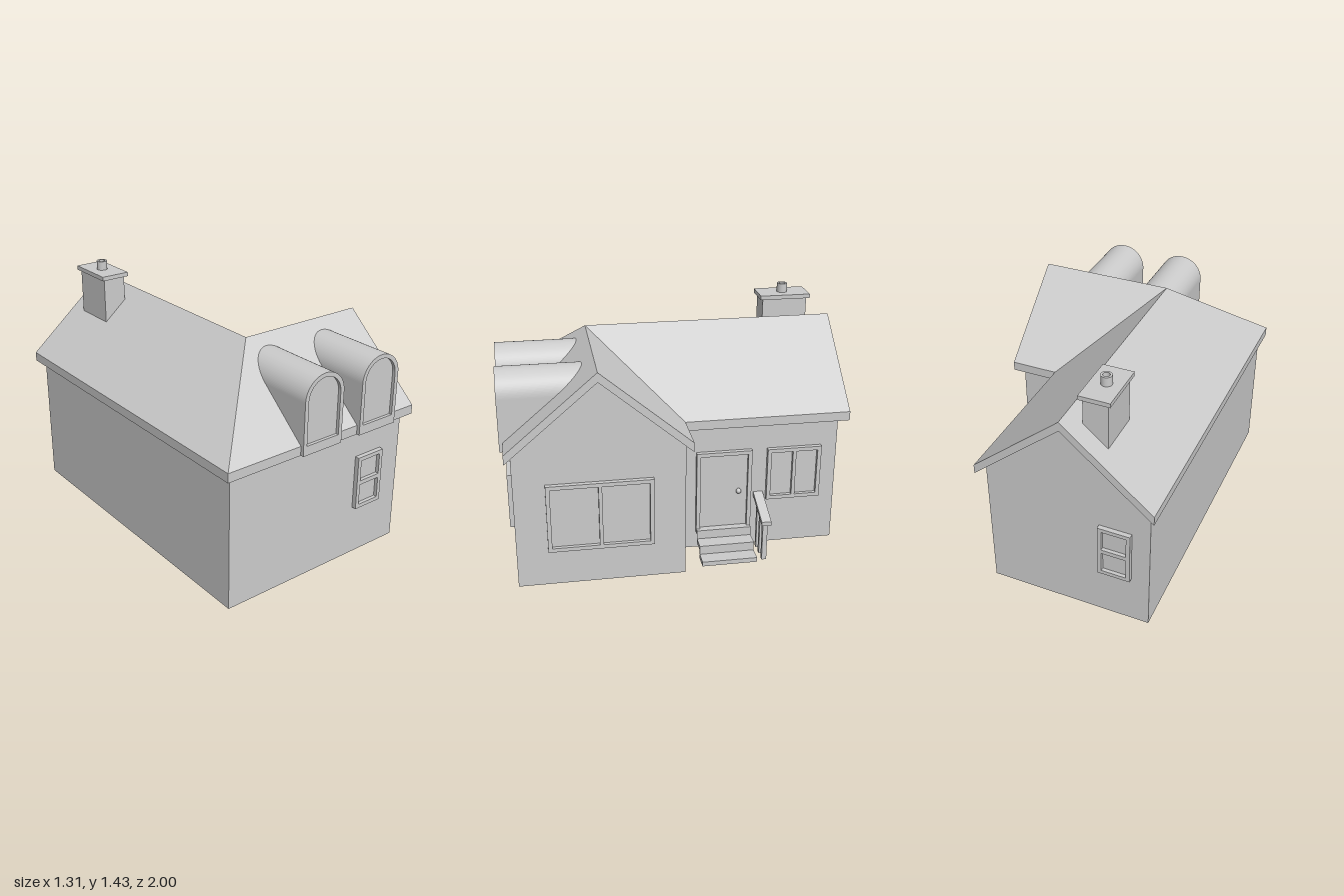
import * as THREE from 'three';

const mat = new THREE.MeshStandardMaterial({ color: 0xcccccc, side: THREE.DoubleSide });

function add(parent, name, geo, x = 0, y = 0, z = 0) {
  const m = new THREE.Mesh(geo, mat);
  m.name = name;
  m.position.set(x, y, z);
  parent.add(m);
  return m;
}

// Box given by its lower and upper corners
function block(parent, name, a, b) {
  const s = b.map((v, i) => v - a[i]);
  return add(parent, name, new THREE.BoxGeometry(...s), ...a.map((v, i) => v + s[i] / 2));
}

// L-plan shell with two crossing gabled wings: an outer rim reaching down to low(y),
// closed by slopes and their undersides when faces are given
function gabledShell({ x0, x1, x2, z0, z1, z2, eave, ridge, low, slopes = [] }) {
  const xr = -0.141, zr = 0.474;
  const P = {
    A: [x0, eave, z0], B: [xr, ridge, z0], C: [x1, eave, z0], D: [x1, eave, z1],
    E: [x2, eave, z1], F: [x2, ridge, zr], G: [x2, eave, z2], H: [x0, eave, z2],
    P: [xr, ridge, zr],
  };
  const under = ([x, y, z]) => [x, low(y), z];
  const pos = [];
  const quad = (a, b, c, d) => pos.push(...a, ...b, ...c, ...a, ...c, ...d);
  for (const face of slopes) {
    const c = [...face].map(k => P[k]);
    quad(...c);
    quad(...c.map(under).reverse());
  }
  const rim = [...'AHGFEDCB'].map(k => P[k]);
  rim.forEach((a, i) => {
    const b = rim[(i + 1) % rim.length];
    quad(a, under(a), under(b), b);
  });
  const g = new THREE.BufferGeometry();
  g.setAttribute('position', new THREE.Float32BufferAttribute(pos, 3));
  g.computeVertexNormals();
  return g;
}

function rectPath(x0, y0, x1, y1, Type = THREE.Path) {
  const p = new Type();
  p.moveTo(x0, y0).lineTo(x1, y0).lineTo(x1, y1).lineTo(x0, y1).closePath();
  return p;
}

// Frame facing local +z, split into cols x rows of panes
function framed(parent, name, { w, h, cols = 1, rows = 1, border = 0.023, bar = 0.02, depth = 0.027 }) {
  const g = new THREE.Group();
  g.name = name;
  const shape = rectPath(-w / 2, 0, w / 2, h, THREE.Shape);
  const pw = (w - 2 * border - (cols - 1) * bar) / cols;
  const ph = (h - 2 * border - (rows - 1) * bar) / rows;
  for (let i = 0; i < cols; i++) for (let j = 0; j < rows; j++) {
    const x = -w / 2 + border + i * (pw + bar), y = border + j * (ph + bar);
    shape.holes.push(rectPath(x, y, x + pw, y + ph));
  }
  add(g, name + 'Frame', new THREE.ExtrudeGeometry(shape, { depth, bevelEnabled: false }));
  block(g, name + 'Panel', [-w / 2 + 0.01, 0.01, 0.001], [w / 2 - 0.01, h - 0.01, 0.006]);
  parent.add(g);
  return g;
}

// Round-topped outline
function arch(r, bottom, spring, Type) {
  const p = new Type();
  p.moveTo(-r, bottom).lineTo(r, bottom).lineTo(r, spring);
  p.absarc(0, spring, r, 0, Math.PI, false);
  p.closePath();
  return p;
}

export function createModel() {
  const house = new THREE.Group();
  house.name = 'house';

  // Walls are open below and meet the underside of the roof
  add(house, 'walls', gabledShell({
    x0: -0.617, x1: 0.332, x2: 0.598, z0: -0.944, z1: 0, z2: 0.946,
    eave: 0.812, ridge: 1.214, low: () => 0,
  }));
  add(house, 'roof', gabledShell({
    x0: -0.654, x1: 0.372, x2: 0.653, z0: -1, z1: -0.035, z2: 0.98,
    eave: 0.837, ridge: 1.27, low: y => y - 0.054,
    slopes: ['AHPB', 'BPDC', 'PFED', 'HGFP'],
  }));

  // Arched dormers, their backs trimmed to the roof slope
  for (const x of [-0.047, 0.355]) {
    const dormer = new THREE.Group();
    dormer.name = 'dormer';
    dormer.position.x = x;
    const opts = depth => ({ depth, bevelEnabled: false, curveSegments: 28 });
    const body = new THREE.ExtrudeGeometry(arch(0.134, 0.784, 1.085, THREE.Shape), opts(0.982));
    const p = body.attributes.position;
    for (let i = 0; i < p.count; i++) {
      if (p.getZ(i) < 0.1) p.setZ(i, Math.min(0.97, 0.46 + (1.27 - p.getY(i)) / 0.85));
    }
    add(dormer, 'dormerBody', body);
    const rim = arch(0.134, 0.784, 1.085, THREE.Shape);
    rim.holes.push(arch(0.11, 0.838, 1.085, THREE.Path));
    add(dormer, 'dormerFrame', new THREE.ExtrudeGeometry(rim, opts(0.018)), 0, 0, 0.982);
    house.add(dormer);
  }

  // Chimney with cap and hollow pot
  block(house, 'chimneyStack', [-0.356, 1.055, -0.883], [-0.217, 1.36, -0.612]);
  block(house, 'chimneyCap', [-0.374, 1.355, -0.9], [-0.199, 1.38, -0.595]);
  const pot = [[0.031, 0], [0.031, 0.053], [0.019, 0.053], [0.019, 0.005], [0, 0.005]];
  for (let i = 0; i < pot.length - 1; i++) {
    const pts = [pot[i], pot[i + 1]].map(p => new THREE.Vector2(...p));
    add(house, 'chimneyPot', new THREE.LatheGeometry(pts, 24), -0.287, 1.38, -0.747);
  }

  // Windows on front, back and side walls
  const tall = { w: 0.187, h: 0.322, rows: 2, bar: 0.025 };
  framed(house, 'frontWindow', tall).position.set(0.355, 0.299, 0.946);
  const back = framed(house, 'backWindow', tall);
  back.position.set(-0.42, 0.299, -0.944);
  back.rotation.y = Math.PI;
  const side = (name, opts, x, y, z) => {
    const f = framed(house, name, opts);
    f.position.set(x, y, z);
    f.rotation.y = Math.PI / 2;
  };
  side('gableWindow', { w: 0.592, h: 0.405, cols: 2 }, 0.598, 0.218, 0.476);
  side('sideWindow', { w: 0.322, h: 0.325, cols: 2 }, 0.332, 0.298, -0.687);

  // Door and knob
  side('door', { w: 0.327, h: 0.515 }, 0.332, 0.11, -0.27);
  add(house, 'doorKnob', new THREE.SphereGeometry(0.016, 16, 12), 0.352, 0.366, -0.358);

  // Steps: three treads with thin risers between them
  for (let i = 0; i < 3; i++) {
    const x = 0.557 - 0.0875 * i, y = 0.0535 * i;
    block(house, 'stepTread', [i === 2 ? 0.332 : x - 0.0875, y, -0.432], [x, y + 0.028, -0.108]);
    if (i > 0) block(house, 'stepRiser', [x - 0.01, y - 0.0255, -0.432], [x, y, -0.108]);
  }

  // Sloping handrail on three posts
  const rail = new THREE.Shape();
  rail.moveTo(0.332, 0.318).lineTo(0.557, 0.235).lineTo(0.557, 0.26).lineTo(0.332, 0.343).closePath();
  add(house, 'handrail', new THREE.ExtrudeGeometry(rail, { depth: 0.056, bevelEnabled: false }), 0, 0, -0.508);
  for (const x of [0.385, 0.455, 0.525]) {
    const top = 0.323 - (x - 0.332) * 0.369;
    block(house, 'railPost', [x - 0.013, 0, -0.492], [x + 0.013, top, -0.464]);
  }

  return house;
}
